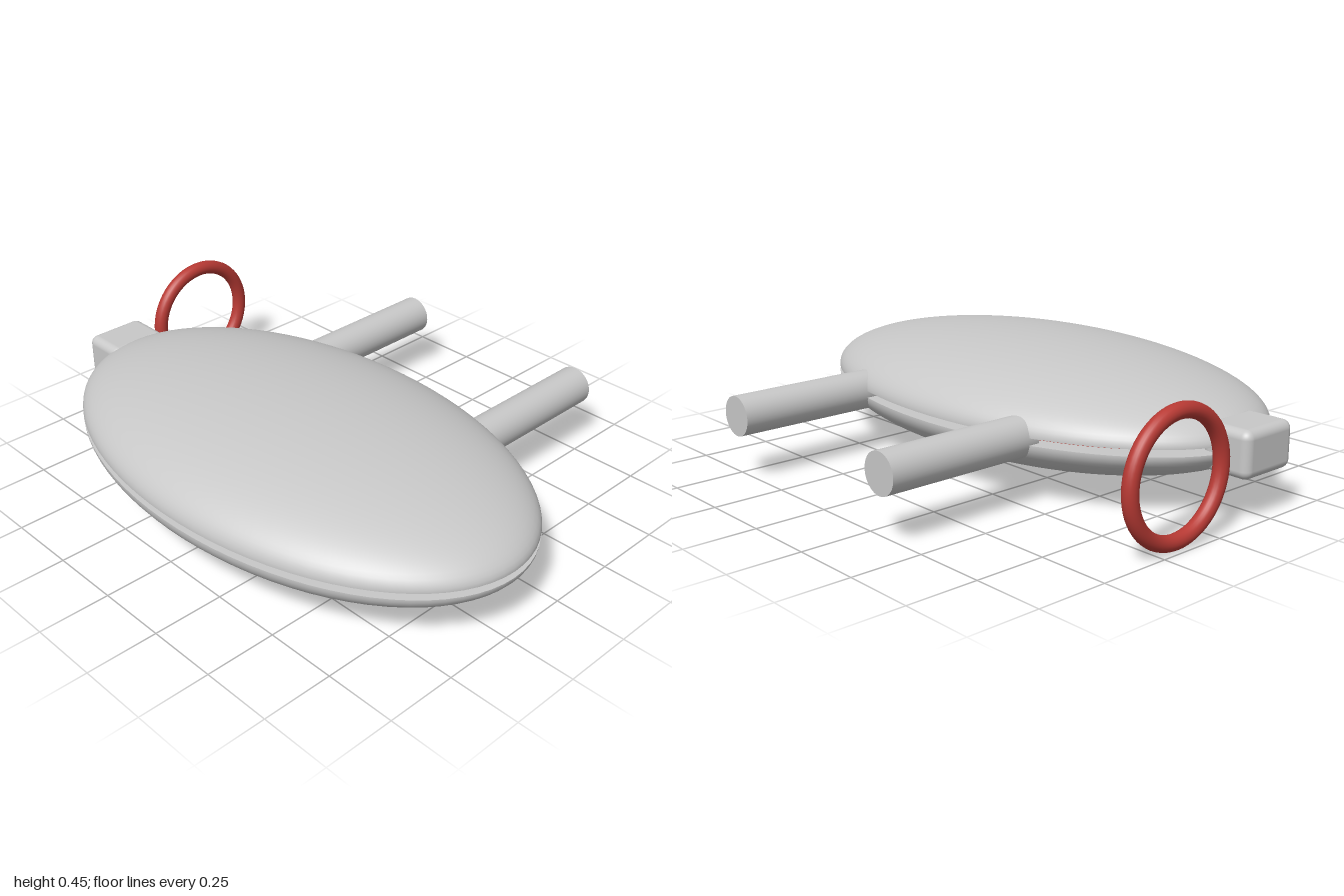
import * as THREE from 'three';
import { RoundedBoxGeometry } from 'three/addons/geometries/RoundedBoxGeometry.js';

export function createModel() {
  const model = new THREE.Group();
  const grey = new THREE.MeshStandardMaterial({ color: 0xc8c8c8 });
  grey.name = 'light grey';
  const red = new THREE.MeshStandardMaterial({ color: 0xb83a34 });
  red.name = 'red';

  const midY = 0.228;
  const bodyX = 0.042, bodyZ = 0.228;

  const add = (name, geometry, material, x, y, z) => {
    const mesh = new THREE.Mesh(geometry, material);
    mesh.name = name;
    mesh.position.set(x, y, z);
    model.add(mesh);
    return mesh;
  };

  // Two half-ellipsoid shells facing each other across a narrow gap
  for (const side of [1, -1]) {
    const shell = new THREE.Group();
    shell.name = side > 0 ? 'upperShell' : 'lowerShell';
    const dome = new THREE.Mesh(
      new THREE.SphereGeometry(1, 80, 24, 0, Math.PI * 2, 0, Math.PI / 2), grey);
    dome.name = 'dome';
    const rimFace = new THREE.Mesh(new THREE.CircleGeometry(1, 80), grey);
    rimFace.name = 'rimFace';
    rimFace.rotation.x = Math.PI / 2;
    shell.add(dome, rimFace);
    shell.scale.set(0.953, 0.189, 0.567);
    if (side < 0) shell.rotation.x = Math.PI;
    shell.position.set(bodyX, midY + side * 0.012, bodyZ);
    model.add(shell);
  }

  // Thin lining set back inside the gap
  add('seamLining', new THREE.CylinderGeometry(1, 1, 0.012, 80), red, bodyX, midY, bodyZ)
    .scale.set(0.885, 1, 0.52);

  // Pair of round bars running out of the back
  for (const [name, x] of [['rightBar', -0.37], ['leftBar', 0.43]]) {
    add(name, new THREE.CylinderGeometry(0.07, 0.07, 0.58, 40), grey, x, midY, -0.51)
      .rotation.x = Math.PI / 2;
  }

  // Clasp block at the right end
  add('clasp', new RoundedBoxGeometry(0.18, 0.16, 0.23, 5, 0.03), grey, -0.91, midY, 0.232);

  // Pull ring beside the clasp
  add('pullRing', new THREE.TorusGeometry(0.201, 0.026, 20, 64), red, -0.97, midY, -0.172)
    .rotation.y = Math.PI / 2;

  return model;
}
